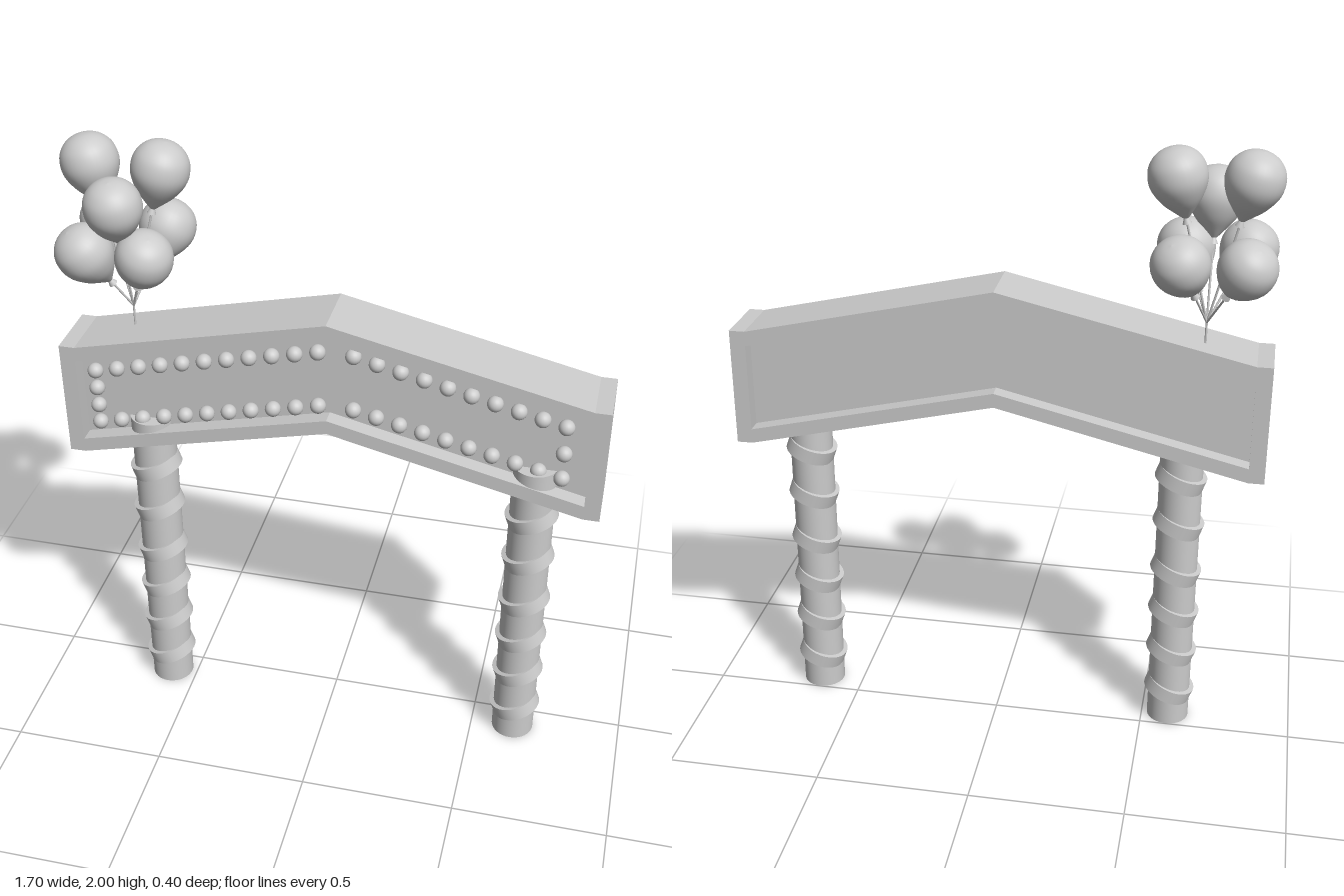
import * as THREE from 'three';

const material = new THREE.MeshStandardMaterial({ color: 0xcccccc });

function addMesh(parent, name, geometry, x = 0, y = 0, z = 0) {
  const mesh = new THREE.Mesh(geometry, material);
  mesh.name = name;
  mesh.position.set(x, y, z);
  parent.add(mesh);
  return mesh;
}

const toPoints = (list) => list.map(([x, y]) => new THREE.Vector2(x, y));

// Closed chevron outline, mirrored from its right half (listed bottom to top)
function chevron(half) {
  const left = half.slice(1, -1).reverse().map(([x, y]) => [-x, y]);
  return toPoints([...half, ...left]);
}

const extrude = (shape, depth) =>
  new THREE.ExtrudeGeometry(shape, { depth, bevelEnabled: false });

// Bent sign: a deep frame around a panel recessed on both faces
function buildSign() {
  const sign = new THREE.Group();
  sign.name = 'sign';
  const outer = chevron([[0, 1.16], [0.8, 0.97], [0.85, 0.97], [0.85, 1.357], [0.8, 1.357], [0, 1.54]]);
  const inner = chevron([[0, 1.207], [0.8, 1.018], [0.8, 1.308], [0, 1.488]]);
  const frame = new THREE.Shape(outer);
  frame.holes.push(new THREE.Path(inner));
  addMesh(sign, 'signFrame', extrude(frame, 0.202), 0, 0, -0.057);
  addMesh(sign, 'signPanel', extrude(new THREE.Shape(inner), 0.1), 0, 0, -0.006);
  return sign;
}

// Rows of round bulbs along the panel border
function buildBulbs() {
  const bulbs = new THREE.Group();
  bulbs.name = 'bulbs';
  const bulb = new THREE.SphereGeometry(0.025, 20, 14);
  const row = (count, x0, y0, x1, y1) => {
    for (let i = 0; i < count; i++) {
      const t = count > 1 ? i / (count - 1) : 0;
      addMesh(bulbs, 'bulb', bulb, x0 + (x1 - x0) * t, y0 + (y1 - y0) * t, 0.108);
    }
  };
  row(11, -0.752, 1.26, -0.034, 1.425);
  row(11, -0.752, 1.07, -0.034, 1.235);
  row(10, 0.076, 1.425, 0.722, 1.27);
  row(10, 0.076, 1.235, 0.722, 1.085);
  row(2, -0.752, 1.197, -0.752, 1.133);
  row(1, 0.722, 1.175, 0.722, 1.175);
  return bulbs;
}

// Round post with slanted bands
function buildPost(name, x) {
  const post = new THREE.Group();
  post.name = name;
  post.position.set(x, 0, 0.072);
  addMesh(post, 'postShaft', new THREE.CylinderGeometry(0.07, 0.07, 1.1, 40), 0, 0.55, 0);
  const band = new THREE.CylinderGeometry(0.081, 0.081, 0.047, 40);
  for (const y of [0.115, 0.27, 0.422, 0.577, 0.75, 0.912]) {
    addMesh(post, 'postBand', band, 0, y, 0).rotation.z = 0.34;
  }
  return post;
}

// Bunch of balloons, every one pointing away from the shared knot
function buildBalloons() {
  const bunch = new THREE.Group();
  bunch.name = 'balloons';
  const knot = new THREE.Vector3(-0.64, 1.46, 0.02);
  const profile = new THREE.SplineCurve(toPoints([
    [0.009, -0.126], [0.03, -0.104], [0.06, -0.07], [0.082, -0.03], [0.088, 0.005],
    [0.08, 0.042], [0.058, 0.07], [0.03, 0.085], [0, 0.09],
  ])).getPoints(32);
  profile[profile.length - 1].x = 0;
  const body = new THREE.LatheGeometry(profile, 32);
  const neck = new THREE.CylinderGeometry(0.006, 0.014, 0.02, 16);
  const up = new THREE.Vector3(0, 1, 0);

  const string = (from, to) => addMesh(bunch, 'string',
    new THREE.TubeGeometry(new THREE.LineCurve3(from, to), 1, 0.0035, 8));

  const centres = [
    [-0.752, 1.91, -0.015], [-0.533, 1.91, -0.01], [-0.643, 1.83, 0.108],
    [-0.748, 1.67, 0.103], [-0.563, 1.67, 0.1],
    [-0.75, 1.675, -0.11], [-0.56, 1.675, -0.11],
  ];
  for (const c of centres) {
    const centre = new THREE.Vector3(...c);
    const dir = centre.clone().sub(knot).normalize();
    const balloon = new THREE.Group();
    balloon.name = 'balloon';
    balloon.position.copy(centre);
    balloon.quaternion.setFromUnitVectors(up, dir);
    addMesh(balloon, 'balloonBody', body);
    addMesh(balloon, 'balloonNeck', neck, 0, -0.134, 0);
    bunch.add(balloon);
    string(knot, centre.clone().addScaledVector(dir, -0.13));
  }
  // Single tether down to the sign
  string(new THREE.Vector3(knot.x, 1.38, knot.z), knot);
  return bunch;
}

export function createModel() {
  const model = new THREE.Group();
  model.name = 'balloonArch';
  model.add(
    buildSign(),
    buildBulbs(),
    buildPost('rightPost', -0.588),
    buildPost('leftPost', 0.64),
    buildBalloons(),
  );
  return model;
}
